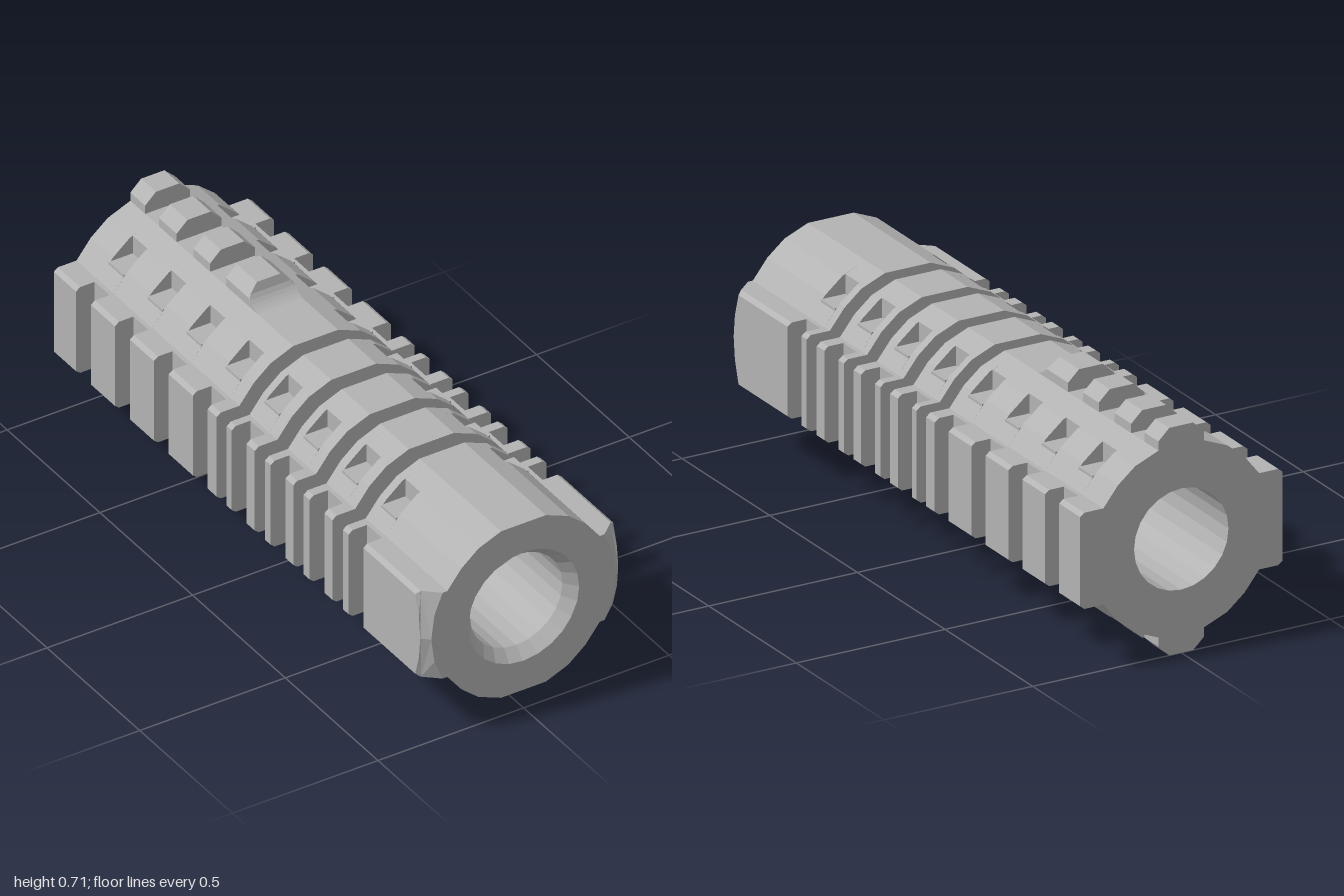
import * as THREE from 'three';

const BORE = 0.159, RIM = 0.317, CENTER_Y = 0.357;

// Mirror a first-quadrant outline (side to top) into a closed counter-clockwise loop
function mirrorQuarter(q) {
  const r = [...q].reverse();
  const all = [
    ...q,
    ...r.map(([x, y]) => [-x, y]),
    ...q.map(([x, y]) => [-x, -y]),
    ...r.map(([x, y]) => [x, -y]),
  ];
  return all.filter(([x, y], i) => {
    const [px, py] = all[(i + all.length - 1) % all.length];
    return Math.hypot(x - px, y - py) > 1e-5;
  });
}

function toShape(points, withBore) {
  const shape = new THREE.Shape(points.map(([x, y]) => new THREE.Vector2(x, y)));
  if (withBore) {
    const hole = [];
    for (let i = 0; i < 24; i++) {
      const a = -i * Math.PI / 12;
      hole.push(new THREE.Vector2(BORE * Math.cos(a), BORE * Math.sin(a)));
    }
    shape.holes.push(new THREE.Path(hole));
  }
  return shape;
}

// Extrude between two z values, optionally moving each vertex by a rule
function slab(shape, z0, z1, rule, steps = 1) {
  const geo = new THREE.ExtrudeGeometry(shape, { depth: z1 - z0, steps, bevelEnabled: false });
  geo.translate(0, 0, z0);
  if (rule) {
    const p = geo.attributes.position, v = new THREE.Vector3();
    for (let i = 0; i < p.count; i++) {
      rule(v.fromBufferAttribute(p, i));
      p.setXYZ(i, v.x, v.y, v.z);
    }
    geo.computeVertexNormals();
  }
  return geo;
}

export function createModel() {
  const group = new THREE.Group();
  const body = new THREE.Group();
  body.name = 'handguard';
  body.position.y = CENTER_Y;
  group.add(body);

  const grey = new THREE.MeshStandardMaterial({ color: 0xb3b3b3 });
  grey.name = 'grey';
  const greyOpen = grey.clone();
  greyOpen.side = THREE.DoubleSide;

  const add = (name, geo, mat = grey, turn = 0) => {
    const mesh = new THREE.Mesh(geo, mat);
    mesh.name = name;
    mesh.rotation.z = turn;
    body.add(mesh);
  };

  const crown = [[0.213, 0.213], [0.155, 0.261], [0.077, 0.293]];
  const full = toShape(mirrorQuarter(
    [[0.34, 0.14], [0.326, 0.151], [0.262, 0.151], ...crown]), true);
  // Rail cut away and an L-shaped pocket in each diagonal face
  const notched = toShape(mirrorQuarter(
    [[0.276, 0.151], [0.262, 0.151], [0.228, 0.195], [0.228, 0.203], [0.145, 0.203],
      [0.145, 0.265], [0.077, 0.293]]), true);
  const round = toShape(mirrorQuarter(
    [[RIM, 0], [0.306, 0.083], [0.278, 0.151], [0.262, 0.151], ...crown]), true);

  // Ring sections separated by gaps, each split by evenly spaced notches
  const notches = [];
  for (let i = 0; i < 8; i++) notches.push(-0.84 + i * 0.21);
  const rings = [[-1, -0.121], [-0.067, 0.084], [0.14, 0.292], [0.348, 0.503], [0.56, 0.67]];
  for (const [start, end] of rings) {
    let z = start;
    for (const c of notches.filter(n => n > start && n < end)) {
      add('ringSection', slab(full, z, c - 0.04));
      add('notchedSection', slab(notched, c - 0.04, c + 0.04));
      z = c + 0.04;
    }
    if (end - z > 0.005) add('ringSection', slab(full, z, end));
  }

  // Front collar with a flared mouth
  add('frontCollar', slab(round, 0.67, 0.96));
  add('frontMouth', slab(round, 0.96, 1, v => {
    if (v.z > 0.99 && Math.hypot(v.x, v.y) < 0.17) {
      v.x *= 0.191 / BORE;
      v.y *= 0.191 / BORE;
    }
  }));

  // Front side rails with a conical chamfer
  const railShape = toShape([
    [0.278, -0.151], [0.326, -0.151], [0.34, -0.14], [0.34, -0.07], [0.34, 0], [0.34, 0.07],
    [0.34, 0.14], [0.326, 0.151], [0.278, 0.151], [0.306, 0.083], [RIM, 0], [0.306, -0.083]]);
  for (const turn of [0, Math.PI]) {
    add('frontRail', slab(railShape, 0.67, 1, v => {
      if (v.z > 0.99) v.z = 1 - Math.max(0, Math.hypot(v.x, v.y) - RIM);
    }), grey, turn);
  }

  // Thin inner tube visible in the gaps
  const tube = new THREE.CylinderGeometry(BORE, BORE, 0.7, 24, 1, true).toNonIndexed();
  tube.computeVertexNormals();
  tube.rotateX(Math.PI / 2);
  tube.translate(0, 0, 0.22);
  add('innerTube', tube, greyOpen);

  // Top and bottom rail teeth; the front one has a curved ramp
  const tooth = toShape([[-0.077, 0.285], [0.077, 0.285], [0.077, 0.322], [0.04, 0.357],
    [-0.04, 0.357], [-0.077, 0.322]]);
  const ramp = v => {
    const t = THREE.MathUtils.clamp((-0.295 - v.z) / 0.08, 0, 1);
    const h = 0.291 + 0.066 * (1 - Math.sqrt(1 - t * t * 0.98)) / (1 - Math.sqrt(0.02));
    if (v.y > 0.35) {
      v.x = Math.sign(v.x) * Math.min(0.077, 0.04 + (0.357 - h) * 0.037 / 0.035);
    }
    v.y = Math.min(v.y, h);
  };
  for (const turn of [0, Math.PI]) {
    for (const [z0, z1] of [[-1, -0.92], [-0.845, -0.75], [-0.66, -0.57], [-0.485, -0.375]]) {
      add('railTooth', slab(tooth, z0, z1), grey, turn);
    }
    add('railRamp', slab(tooth, -0.375, -0.295, ramp, 8), grey, turn);
  }

  return group;
}
